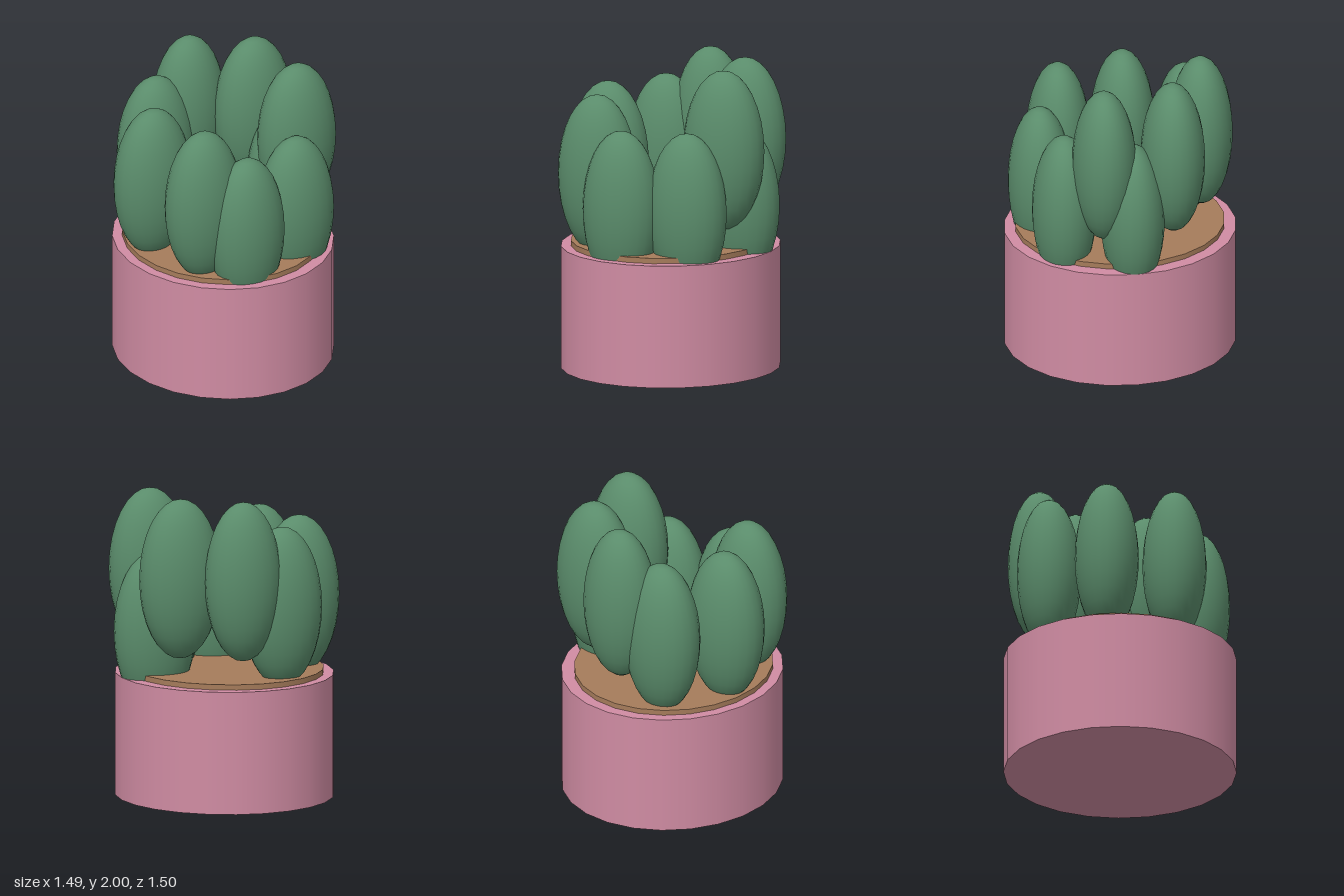
import * as THREE from 'three';

const potColor = new THREE.MeshStandardMaterial({ color: 0xd08ca3 });
const soilColor = new THREE.MeshStandardMaterial({ color: 0xa67c5b });
const leafColor = new THREE.MeshStandardMaterial({ color: 0x5a8c6b });

// Slightly oval disc or drum standing on height y
function drum(name, rx, rz, y, height, x, material) {
  const geometry = new THREE.CylinderGeometry(1, 1, height, 24);
  geometry.scale(rx, 1, rz);
  const mesh = new THREE.Mesh(geometry, material);
  mesh.name = name;
  mesh.position.set(x, y + height / 2, 0);
  return mesh;
}

export function createModel() {
  const plant = new THREE.Group();
  plant.name = 'pottedSucculent';

  plant.add(drum('pot', 0.7, 0.75, 0, 0.8, -0.003, potColor));
  plant.add(drum('soil', 0.625, 0.677, 0.78, 0.055, -0.014, soilColor));

  // Upright oval lobes in a ring: x, z, centre height, half width
  const low = 1.1, middle = 1.29, high = 1.48;
  const lobes = [
    [0.475, -0.005, low, 0.27],
    [0.29, 0.41, low, 0.263],
    [-0.132, 0.5, low, 0.256],
    [-0.365, 0.345, middle, 0.264],
    [-0.478, -0.092, middle, 0.268],
    [-0.23, -0.46, middle, 0.264],
    [0.055, -0.515, high, 0.25],
    [0.4, -0.28, high, 0.27],
    [0.445, 0.174, high, 0.27],
  ];
  const lobeShape = new THREE.SphereGeometry(1, 24, 16);
  const ring = new THREE.Group();
  ring.name = 'lobes';
  lobes.forEach(([x, z, y, halfWidth], i) => {
    const lobe = new THREE.Mesh(lobeShape, leafColor);
    lobe.name = `lobe${i + 1}`;
    lobe.position.set(x, y, z);
    lobe.scale.set(halfWidth, 0.52, 0.206);
    ring.add(lobe);
  });
  plant.add(ring);

  return plant;
}
